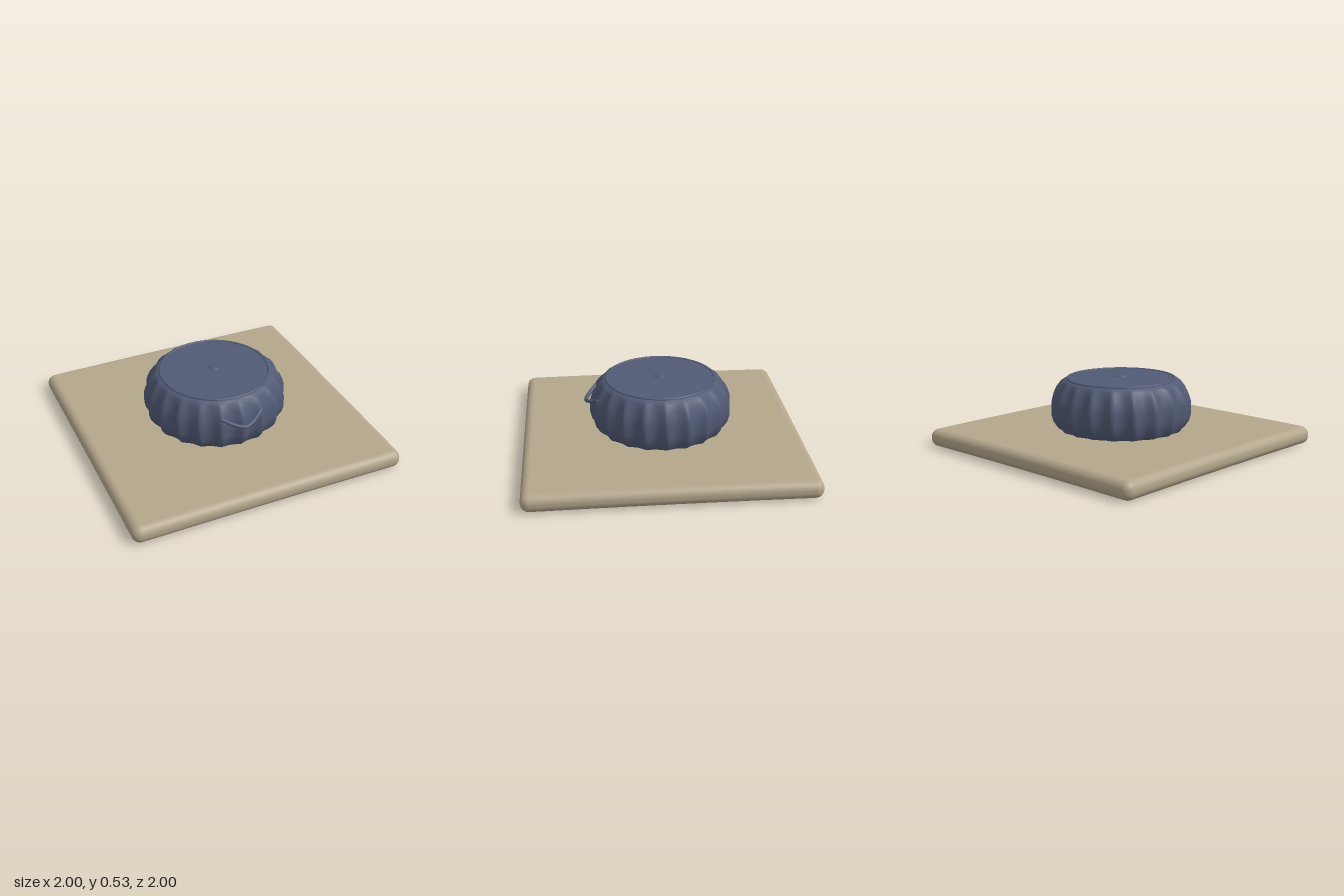
import * as THREE from 'three';
import { mergeVertices } from 'three/addons/utils/BufferGeometryUtils.js';

const fabric = new THREE.MeshStandardMaterial({ name: 'slate blue fabric', color: 0x525b75 });
const wool = new THREE.MeshStandardMaterial({ name: 'beige wool', color: 0xb3a68c });

function part(group, name, geometry, material, y = 0) {
  const mesh = new THREE.Mesh(geometry, material);
  mesh.name = name;
  mesh.position.y = y;
  group.add(mesh);
  return mesh;
}

// Slab with rounded edges, crowned slightly towards the middle
function rugGeometry() {
  const n = 20, e = 5, r = 0.06, half = new THREE.Vector3(1, 0.065, 1);
  const geo = new THREE.BoxGeometry(2, 2, 2, n, n, n);
  const pos = geo.attributes.position, nor = geo.attributes.normal;
  const p = new THREE.Vector3(), core = new THREE.Vector3();
  const inner = half.clone().subScalar(r);
  // Squeeze grid lines into the rounded edges
  const remap = (v, h) => {
    const k = Math.abs(v) * n / 2, flat = n / 2 - e;
    const s = k <= flat ? (h - r) * k / flat : h - r + r * (k - flat) / e;
    return Math.sign(v) * s;
  };
  for (let i = 0; i < pos.count; i++) {
    p.fromBufferAttribute(pos, i);
    p.set(remap(p.x, half.x), remap(p.y, half.y), remap(p.z, half.z));
    core.copy(p).clamp(inner.clone().negate(), inner);
    p.sub(core).normalize();
    nor.setXYZ(i, p.x, p.y, p.z);
    p.multiplyScalar(r).add(core);
    const crown = 0.005 * (2 - p.x * p.x - p.z * p.z);
    pos.setXYZ(i, p.x, p.y + half.y + crown, p.z);
  }
  return geo;
}

// Turned cushion with twenty sharp ridges and hollow flutes between them
function cushionGeometry() {
  const profile = [[0, 0.125], [0.44, 0.125], [0.47, 0.155], [0.5, 0.2], [0.513, 0.25], [0.513, 0.34],
    [0.5, 0.385], [0.48, 0.43], [0.445, 0.475], [0.415, 0.495], [0.39, 0.503], [0.375, 0.506], [0.2, 0.512], [0, 0.515]];
  let geo = new THREE.LatheGeometry(profile.map(([x, y]) => new THREE.Vector2(x, y)), 160);
  const pos = geo.attributes.position;
  for (let i = 0; i < pos.count; i++) {
    const x = pos.getX(i), z = pos.getZ(i), r = Math.hypot(x, z);
    const depth = 0.036 * THREE.MathUtils.smoothstep(r, 0.4, 0.51);
    const k = r > 0.01 ? 1 - depth * Math.abs(Math.sin(10 * Math.atan2(x, z))) / r : 1;
    pos.setX(i, x * k);
    pos.setZ(i, z * k);
  }
  geo.deleteAttribute('normal');
  geo.deleteAttribute('uv');
  geo = mergeVertices(geo, 1e-4);
  geo.computeVertexNormals();
  return geo;
}

export function createModel() {
  const model = new THREE.Group();
  model.name = 'poufOnRug';
  part(model, 'rug', rugGeometry(), wool);

  const pouf = new THREE.Group();
  pouf.name = 'pouf';
  model.add(pouf);
  part(pouf, 'cushion', cushionGeometry(), fabric);

  // Piping around the seat and the centre button
  const piping = new THREE.TorusGeometry(0.39, 0.01, 8, 64).rotateX(Math.PI / 2);
  part(pouf, 'piping', piping, fabric, 0.502);
  const button = part(pouf, 'button', new THREE.SphereGeometry(0.042, 24, 12), fabric, 0.513);
  button.scale.y = 0.32;

  // Carrying strap on the front
  const path = new THREE.CatmullRomCurve3([
    [-0.15, 0.4, 0.46], [-0.07, 0.365, 0.515], [0, 0.35, 0.54], [0.07, 0.365, 0.515], [0.15, 0.4, 0.46],
  ].map((a) => new THREE.Vector3(...a)));
  const strap = new THREE.Group();
  strap.name = 'strap';
  pouf.add(strap);
  part(strap, 'strapLoop', new THREE.TubeGeometry(path, 20, 0.014, 8), fabric);
  for (const t of [0, 1]) {
    const end = part(strap, 'strapEnd', new THREE.SphereGeometry(0.014, 10, 8), fabric);
    end.position.copy(path.getPoint(t));
  }
  return model;
}
